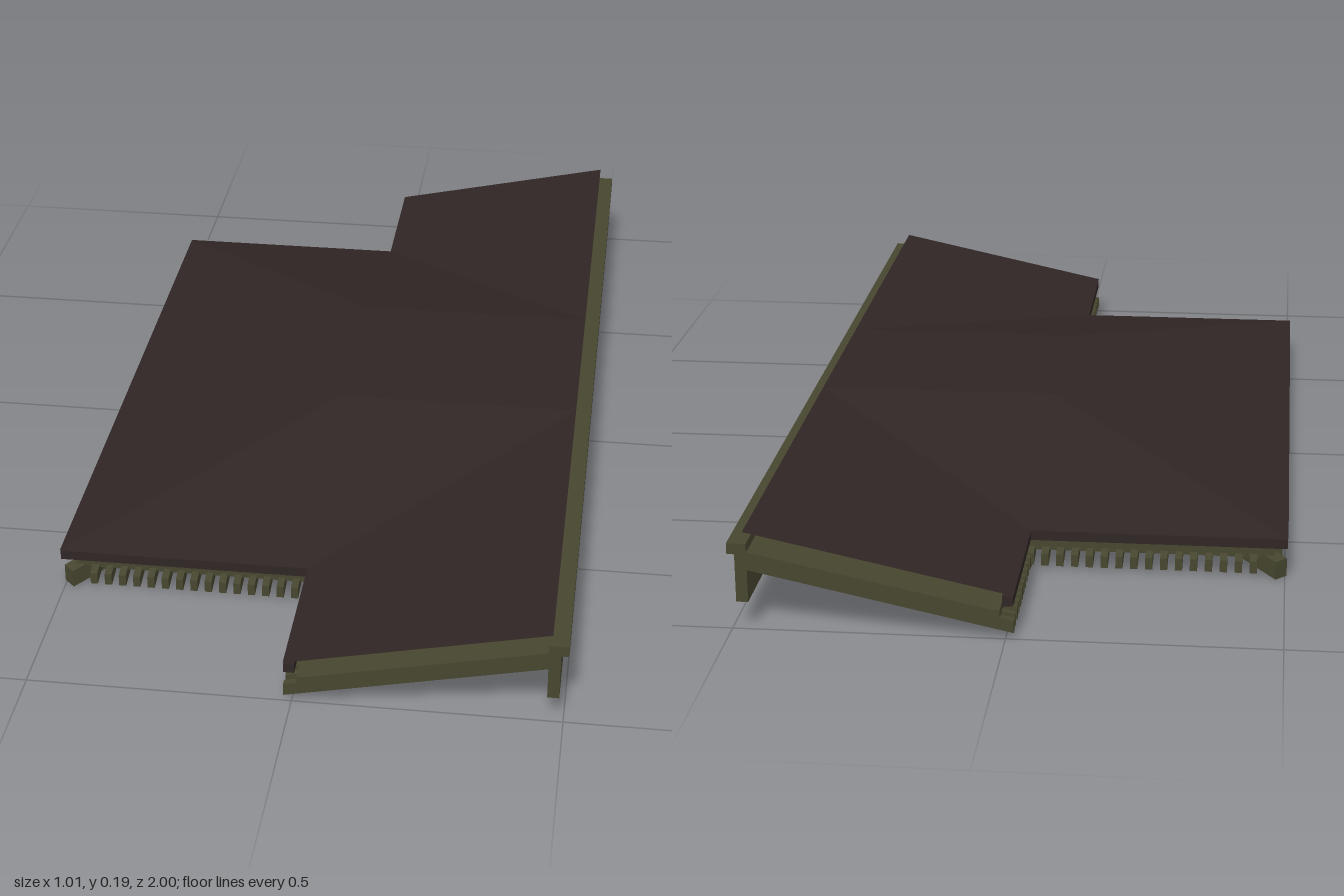
import * as THREE from 'three';
import { mergeGeometries } from 'three/addons/utils/BufferGeometryUtils.js';

// Plan: eave of the projecting bay, eave of the long wing, ridge line, half depths
const EAVE = -0.505, WING = -0.015, RIDGE = 0.475;
const BAY_Z = 0.69, FLAT_Z = 0.2, END_Z = 1;
const RUN = 0.49, RISE = 0.105, SLOPE = RISE / RUN;

export function createModel() {
  const group = new THREE.Group();
  const roofMat = new THREE.MeshStandardMaterial({ color: 0x302525, side: THREE.DoubleSide });
  roofMat.name = 'dark brown roofing';
  const woodMat = new THREE.MeshStandardMaterial({ color: 0x47462f, side: THREE.DoubleSide });
  woodMat.name = 'olive timber';

  const add = (name, geos, mat) => {
    const mesh = new THREE.Mesh(mergeGeometries(geos), mat);
    mesh.name = name;
    group.add(mesh);
  };
  // Box given by its limits
  const block = (x0, x1, y0, y1, z0, z1) =>
    new THREE.BoxGeometry(x1 - x0, y1 - y0, Math.abs(z1 - z0))
      .translate((x0 + x1) / 2, (y0 + y1) / 2, (z0 + z1) / 2);
  // Sloping timber with upright sides and plumb-cut ends
  const beam = (a, b, w, h) => {
    const p = new THREE.Vector3(...a), q = new THREE.Vector3(...b);
    const dir = q.clone().sub(p);
    const side = new THREE.Vector3(dir.z, 0, -dir.x).normalize();
    const m = new THREE.Matrix4().makeBasis(side, new THREE.Vector3(0, 1, 0), dir);
    m.setPosition(p.add(q).multiplyScalar(0.5));
    return new THREE.BoxGeometry(w, h, 1).applyMatrix4(m);
  };
  const quad = (...c) => {
    const g = new THREE.BufferGeometry();
    const pts = [c[0], c[1], c[2], c[0], c[2], c[3]].flat();
    g.setAttribute('position', new THREE.Float32BufferAttribute(pts, 3));
    g.computeVertexNormals();
    return g;
  };
  // Hipped and valleyed surface with its eaves at height y, cut back by inset
  const slopes = (y, inset) => {
    const e = y + inset * SLOPE, t = y + RISE;
    const l = EAVE + inset, m = WING + inset, z = BAY_Z - inset;
    const faces = [quad([l, e, -z], [l, e, z], [WING, t, FLAT_Z], [WING, t, -FLAT_Z])];
    for (const s of [1, -1]) {
      const bay = [[l, e, s * z], [m, e, s * z], [RIDGE, t, s * FLAT_Z], [WING, t, s * FLAT_Z]];
      const wing = [[m, e, s * z], [m, e, s * END_Z], [RIDGE, t, s * END_Z], [RIDGE, t, s * FLAT_Z]];
      for (const f of [bay, wing]) faces.push(s > 0 ? quad(...f) : quad(...f.reverse()));
    }
    return faces;
  };

  // Roof covering with flat centre
  const top = 0.085 + RISE;
  add('roofCovering', [
    ...slopes(0.085, 0),
    quad([WING, top, -FLAT_Z], [WING, top, FLAT_Z], [RIDGE, top, FLAT_Z], [RIDGE, top, -FLAT_Z]),
  ], roofMat);

  // Boards following every eave
  const eaveBoards = (inset, w, y0, y1) => {
    const l = EAVE + inset, m = WING + inset, z = BAY_Z - inset;
    const out = [block(l, l + w, y0, y1, -z, z)];
    for (const s of [1, -1]) {
      out.push(block(l, m + w, y0, y1, s * z, s * (z - w)));
      out.push(block(m, m + w, y0, y1, s * z, s * END_Z));
    }
    return out;
  };
  add('eaveFascia', eaveBoards(0.001, 0.02, 0.064, 0.083), roofMat);
  add('eaveBattens', eaveBoards(0.025, 0.02, 0.035, 0.056), woodMat);

  // Boarding under the roof
  add('roofDeck', slopes(0.046, 0.025), woodMat);
  add('deckEndBoards', [1, -1].map((s) => beam(
    [WING + 0.025, 0.046, s * 0.992], [RIDGE, 0.145, s * 0.992], 0.016, 0.014)), woodMat);

  // Rafters of the bay front, the bay sides and the wings
  const PITCH = 0.0285, W = 0.014, H = 0.024;
  const rafterY = (d) => 0.024 + d * SLOPE;
  const rafters = [];
  for (let z = PITCH / 2; z < BAY_Z - 0.05; z += PITCH) {
    const d = Math.min(RUN, BAY_Z - z);
    for (const s of [1, -1])
      rafters.push(beam([EAVE + 0.01, rafterY(0), s * z], [EAVE + d, rafterY(d), s * z], W, H));
  }
  for (let x = EAVE + 0.065; x < RIDGE - 0.02; x += PITCH) {
    const d0 = Math.max(0, x - WING), d1 = Math.min(RUN, x - EAVE);
    for (const s of [1, -1])
      rafters.push(beam([x, rafterY(d0), s * (BAY_Z - d0)], [x, rafterY(d1), s * (BAY_Z - d1)], W, H));
  }
  for (let z = END_Z - W / 2; z > FLAT_Z + 0.02; z -= PITCH) {
    const d = Math.max(0, BAY_Z - z);
    for (const s of [1, -1])
      rafters.push(beam([WING + d, rafterY(d), s * z], [RIDGE, rafterY(RUN), s * z], W, H));
  }
  add('rafters', rafters, woodMat);

  // Hip and valley beams running to the corners of the central frame
  const diagonals = [];
  for (const s of [1, -1])
    for (const x of [EAVE, WING])
      diagonals.push(beam([x + 0.012, 0.018, s * (BAY_Z - 0.012)],
        [x + RUN, 0.018 + RISE, s * FLAT_Z], 0.03, 0.036));
  add('hipAndValleyBeams', diagonals, woodMat);

  // Central frame with a narrower upper ring
  const ring = (x0, x1, z, w, y0, y1) => [
    block(x0, x0 + w, y0, y1, -z, z),
    block(x1 - w, x1, y0, y1, -z, z),
    block(x0 + w, x1 - w, y0, y1, z - w, z),
    block(x0 + w, x1 - w, y0, y1, -z, -z + w),
  ];
  add('centralFrame', [
    ...ring(WING, RIDGE, FLAT_Z, 0.03, 0.053, 0.165),
    ...ring(WING + 0.003, RIDGE - 0.001, FLAT_Z - 0.002, 0.05, 0.165, 0.187),
  ], woodMat);

  // Long ridge beam and its projecting cap
  add('ridgeBeam', [block(0.469, 0.491, 0.053, 0.146, -END_Z, END_Z)], woodMat);
  add('ridgeCap', [block(0.469, 0.505, 0.146, 0.167, -END_Z, END_Z)], woodMat);

  return group;
}
